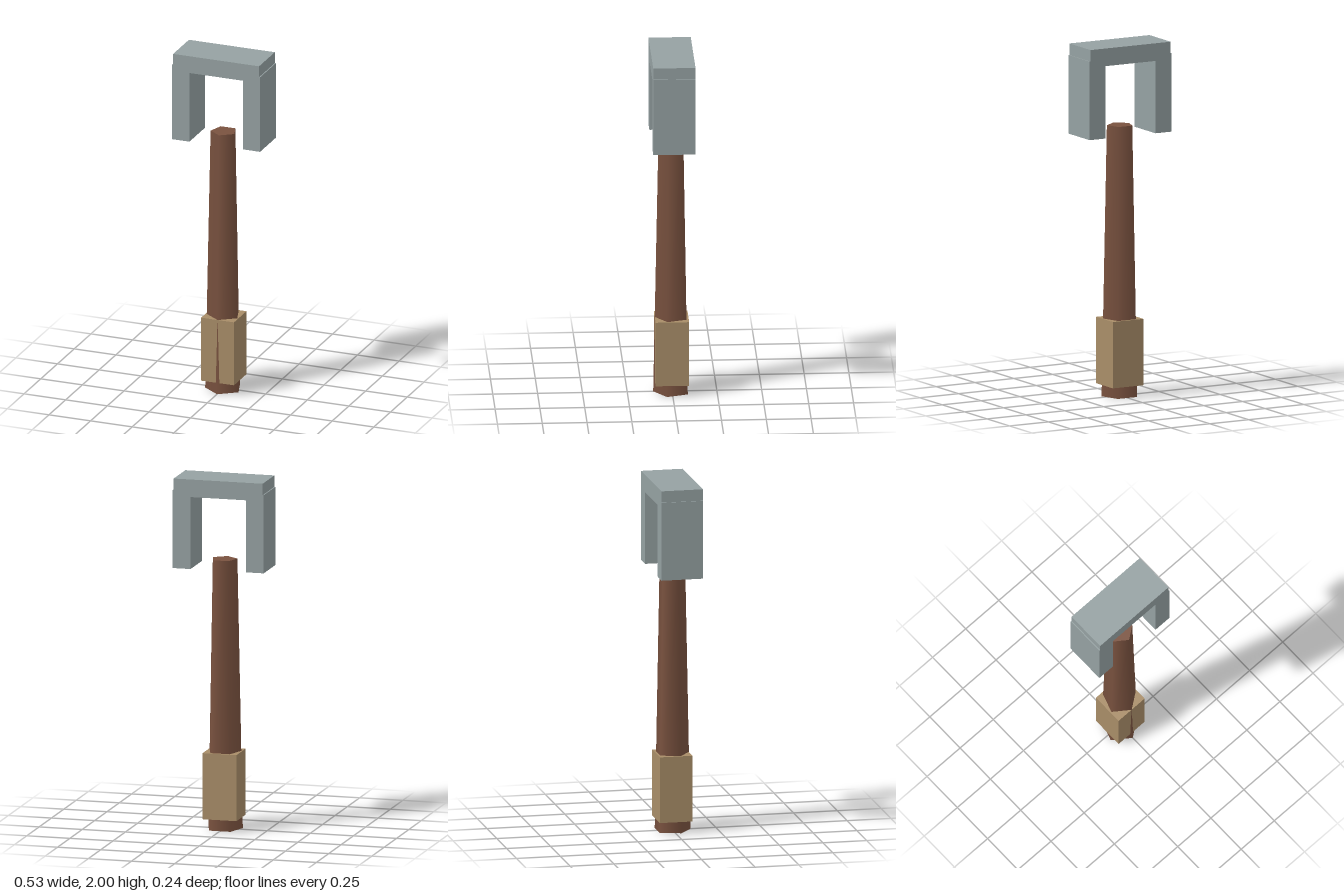
import * as THREE from 'three';

const material = (color) => new THREE.MeshStandardMaterial({ color });

export function createModel() {
  const group = new THREE.Group();
  const add = (name, geometry, color, x, y, z) => {
    const mesh = new THREE.Mesh(geometry, material(color));
    mesh.name = name;
    mesh.position.set(x, y, z);
    group.add(mesh);
  };

  // Tapered five-sided shaft, one corner facing the front
  const shaftHeight = 1.535;
  add('shaft', new THREE.CylinderGeometry(0.075, 0.105, shaftHeight, 5), 0x7a523f, 0, shaftHeight / 2, 0);

  // Square grip, its front just split by the shaft's corner
  add('grip', new THREE.BoxGeometry(0.197, 0.376, 0.187), 0xa88d68, 0, 0.252, 0.0025);

  // Floating square yoke: legs stand slightly proud of the crossbar
  const half = [[0.258, 2], [0.258, 1.935], [0.264, 1.935], [0.264, 1.49], [0.16, 1.49], [0.16, 1.9]];
  const mirrored = half.map(([x, y]) => [-x, y]).reverse();
  const outline = new THREE.Shape([...half, ...mirrored].map(([x, y]) => new THREE.Vector2(x, y)));
  const depth = 0.236;
  const yoke = new THREE.ExtrudeGeometry(outline, { depth, bevelEnabled: false });
  add('yoke', yoke, 0x95a1a2, 0, 0, -depth / 2);

  return group;
}
